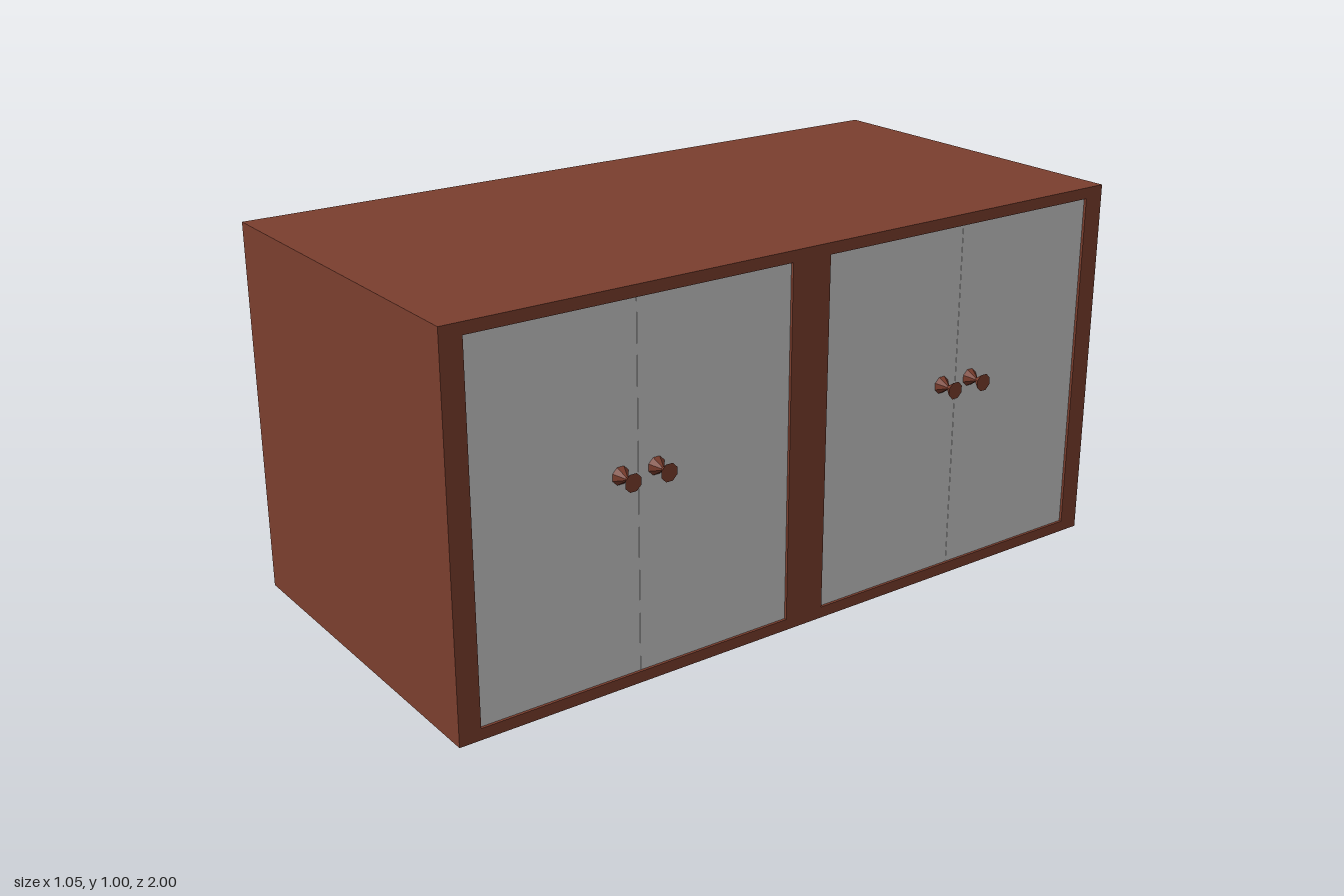
import * as THREE from 'three';

const wood = new THREE.MeshStandardMaterial({ color: 0x7b3e2e, flatShading: true });
const grey = new THREE.MeshStandardMaterial({ color: 0xcccccc, flatShading: true });

const BACK = -0.523, FRONT = 0.477, PANEL = 0.03;
const DOOR_FACE = 0.47, DOOR_THICK = 0.03;
const OPEN_W = 0.885, OPEN_Y0 = 0.03, OPEN_Y1 = 0.97;

function rect(x0, y0, x1, y1, Type = THREE.Shape) {
  return new Type([[x0, y0], [x1, y0], [x1, y1], [x0, y1]].map(p => new THREE.Vector2(...p)));
}

function add(parent, name, geometry, material, x, y, z) {
  const mesh = new THREE.Mesh(geometry, material);
  mesh.name = name;
  mesh.position.set(x, y, z);
  parent.add(mesh);
}

export function createModel() {
  const group = new THREE.Group();
  group.name = 'cabinet';

  // Carcass: one profile with two openings, run through the depth
  const profile = rect(-1, 0, 1, 1);
  for (const c of [-0.5, 0.5]) {
    profile.holes.push(rect(c - OPEN_W / 2, OPEN_Y0, c + OPEN_W / 2, OPEN_Y1, THREE.Path));
  }
  const carcass = new THREE.ExtrudeGeometry(profile, { depth: FRONT - BACK - PANEL, bevelEnabled: false });
  carcass.rotateY(Math.PI / 2);
  add(group, 'carcass', carcass, wood, BACK + PANEL, 0, 0);
  add(group, 'backPanel', new THREE.BoxGeometry(PANEL, 1, 2), wood, BACK + PANEL / 2, 0.5, 0);

  // Hourglass knob, turned about the x axis
  const knob = new THREE.LatheGeometry(
    [[0, -0.026], [0.024, -0.026], [0.005, 0], [0.024, 0.026], [0, 0.026]].map(p => new THREE.Vector2(...p)), 8);
  knob.rotateZ(-Math.PI / 2);
  knob.rotateX(Math.PI / 8);

  // Two pairs of slightly recessed doors, each leaf with a knob near the seam
  const leaf = new THREE.BoxGeometry(DOOR_THICK, OPEN_Y1 - OPEN_Y0, OPEN_W / 2 - 0.001);
  for (const c of [-0.5, 0.5]) {
    for (const side of [-1, 1]) {
      const door = new THREE.Group();
      door.name = 'door';
      add(door, 'doorLeaf', leaf, grey, DOOR_FACE - DOOR_THICK / 2, 0.5, c + side * OPEN_W / 4);
      add(door, 'knob', knob, wood, 0.497, 0.55, c + side * 0.05);
      group.add(door);
    }
  }
  return group;
}
